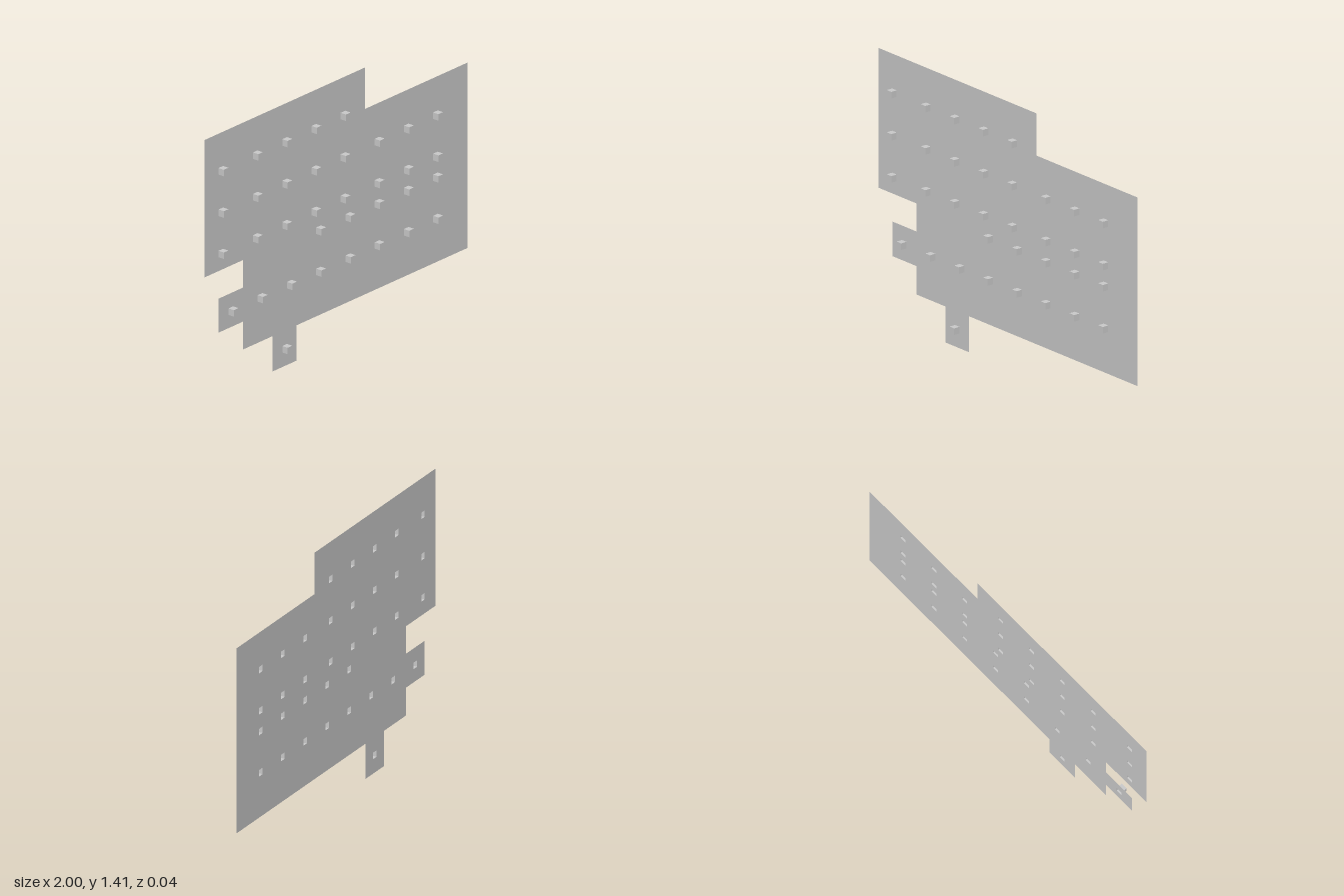
import * as THREE from 'three';

const SIZE = 0.035;          // key switch cube edge
const PLATE_Z = -SIZE / 2;   // plate lies on the open backs of the cubes

// Stepped outline of the plate, counter-clockwise
const OUTLINE = [
  [-1, 1.41], [-1, 0.671], [-0.706, 0.671], [-0.706, 0.523], [-0.893, 0.523], [-0.893, 0.34],
  [-0.706, 0.34], [-0.706, 0.19], [-0.482, 0.19], [-0.482, 0], [-0.299, 0], [-0.299, 0.19],
  [1, 0.19], [1, 1.187], [0.219, 1.187], [0.219, 1.41],
];

// Rows of cubes: height and x positions
const LEFT = [-0.876, -0.614, -0.391, -0.169, 0.053];
const RIGHT = [0.312, 0.534, 0.756];
const ROWS = [
  [1.208, LEFT],
  [0.985, [...LEFT, ...RIGHT]],
  [0.763, [...LEFT, ...RIGHT]],
  [0.651, [-0.133, 0.09, ...RIGHT]],
  [0.429, [-0.8, -0.578, -0.355, -0.133, 0.09, ...RIGHT]],
  [0.096, [-0.391]],
];

const toPoints = (list) => list.map(([x, y]) => new THREE.Vector2(x, y));

export function createModel() {
  const group = new THREE.Group();
  group.name = 'switchPlate';
  const material = new THREE.MeshStandardMaterial({
    color: 0xcccccc, flatShading: true, side: THREE.DoubleSide,
  });

  // Cube without its back face (the last face of a box)
  const cube = new THREE.BoxGeometry(SIZE, SIZE, SIZE);
  cube.setIndex(Array.from(cube.index.array).slice(0, 30));
  cube.clearGroups();

  const shape = new THREE.Shape(toPoints(OUTLINE));
  const studs = new THREE.Group();
  studs.name = 'studs';
  const h = SIZE / 2;

  for (const [y, xs] of ROWS) {
    for (const x of xs) {
      // Opening in the plate behind each cube
      shape.holes.push(new THREE.Path(toPoints([
        [x - h, y - h], [x - h, y + h], [x + h, y + h], [x + h, y - h],
      ])));
      const stud = new THREE.Mesh(cube, material);
      stud.name = 'stud';
      stud.position.set(x, y, 0);
      studs.add(stud);
    }
  }

  // Thin plate
  const plate = new THREE.Mesh(new THREE.ShapeGeometry(shape), material);
  plate.name = 'plate';
  plate.position.z = PLATE_Z;

  group.add(plate, studs);
  return group;
}
